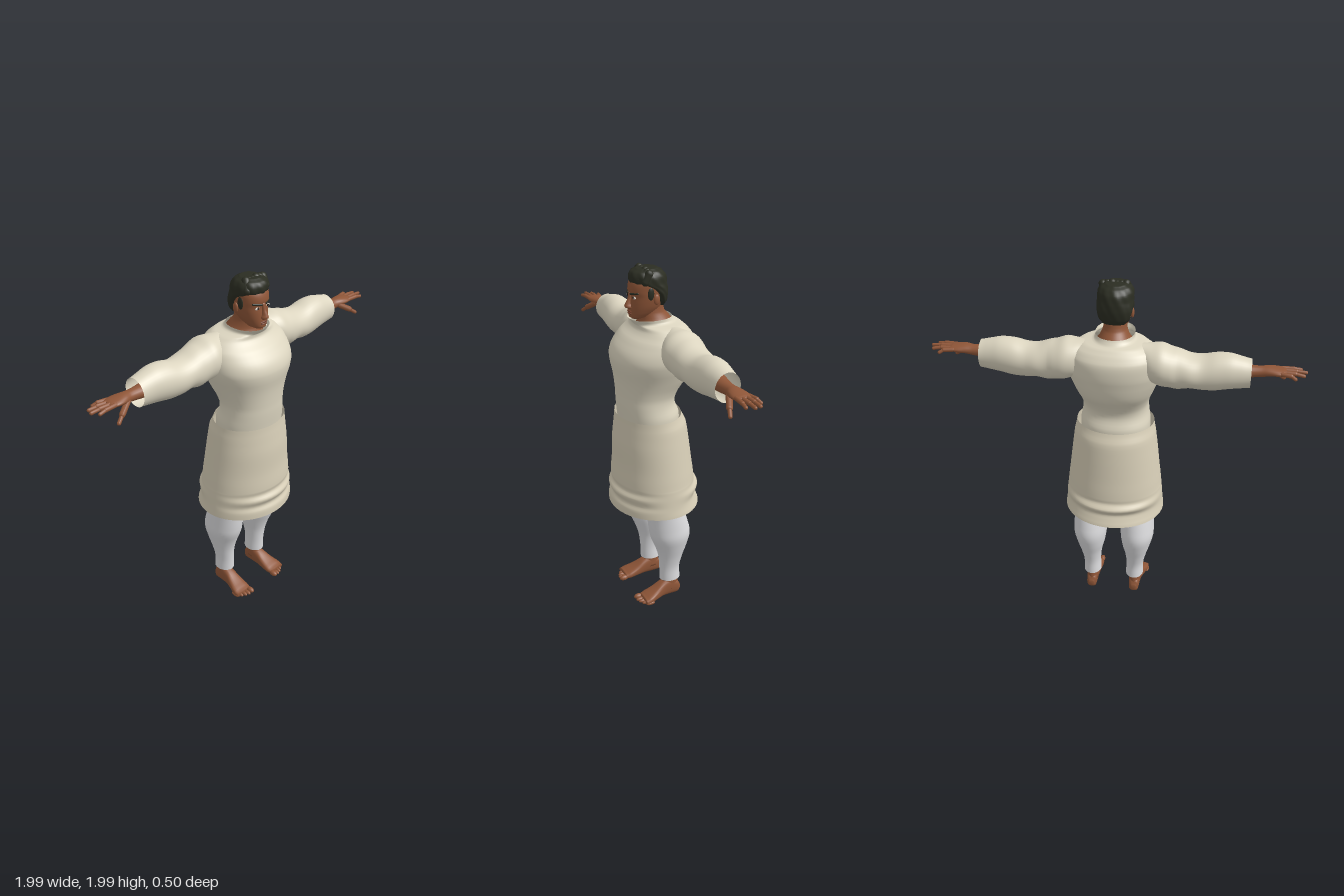
import * as THREE from 'three';

const mat = (name, color, side = THREE.FrontSide) => {
  const m = new THREE.MeshStandardMaterial({ color, side });
  m.name = name;
  return m;
};

// Smooth loft through elliptical sections [s, u0, u1, v0, v1]; u and v are extents.
// axis y: u = x, v = z;  axis x: u = y, v = z;  axis z: u = x, v = y.
function loft(sections, { axis = 'y', power = 1, caps = true, sides = 36, steps = 4, ripple = null } = {}) {
  const n = sections.length, rows = (n - 1) * steps, pos = [], index = [];
  const at = (i, k) => sections[Math.min(n - 1, Math.max(0, i))][k];
  const spline = (i, f, k) => {
    const a = at(i - 1, k), b = at(i, k), c = at(i + 1, k), d = at(i + 2, k);
    return b + 0.5 * f * (c - a + f * (2 * a - 5 * b + 4 * c - d + f * (3 * (b - c) + d - a)));
  };
  const put = (s, u, v) => pos.push(...(axis === 'y' ? [u, s, v] : axis === 'x' ? [s, u, v] : [u, v, s]));
  const tri = (a, b, c) => (axis === 'y' ? index.push(a, b, c) : index.push(a, c, b));
  const round = (x) => Math.sign(x) * Math.abs(x) ** power;
  const mids = [];
  for (let r = 0; r <= rows; r++) {
    const i = Math.min(n - 2, Math.floor(r / steps)), f = r / steps - i;
    // The station itself runs linearly so rows never cross
    const s = at(i, 0) + (at(i + 1, 0) - at(i, 0)) * f;
    const [u0, u1, v0, v1] = [1, 2, 3, 4].map((k) => spline(i, f, k));
    mids.push([s, (u0 + u1) / 2, (v0 + v1) / 2]);
    for (let j = 0; j < sides; j++) {
      const t = (j / sides) * Math.PI * 2, g = ripple ? ripple(s, t) : 1;
      put(s, (u0 + u1) / 2 + (g * round(Math.sin(t)) * (u1 - u0)) / 2, (v0 + v1) / 2 + (g * round(Math.cos(t)) * (v1 - v0)) / 2);
    }
  }
  for (let r = 0; r < rows; r++)
    for (let j = 0; j < sides; j++) {
      const a = r * sides + j, b = r * sides + ((j + 1) % sides);
      tri(a, b, a + sides);
      tri(b, b + sides, a + sides);
    }
  if (caps) {
    const base = pos.length / 3, top = rows * sides;
    put(...mids[0]);
    put(...mids[rows]);
    for (let j = 0; j < sides; j++) {
      const k = (j + 1) % sides;
      tri(base, k, j);
      tri(base + 1, top + j, top + k);
    }
  }
  const geo = new THREE.BufferGeometry();
  geo.setAttribute('position', new THREE.Float32BufferAttribute(pos, 3));
  geo.setIndex(index);
  geo.computeVertexNormals();
  return geo;
}

// Rounded bar between two points
function bar(a, b, r) {
  const p = new THREE.Vector3(...a), q = new THREE.Vector3(...b), d = q.clone().sub(p);
  const geo = new THREE.CapsuleGeometry(r, d.length(), 5, 10);
  geo.applyQuaternion(new THREE.Quaternion().setFromUnitVectors(new THREE.Vector3(0, 1, 0), d.normalize()));
  return geo.translate(...p.add(q).multiplyScalar(0.5).toArray());
}

const ball = (x, y, z, rx, ry, rz) => new THREE.SphereGeometry(1, 18, 12).scale(rx, ry, rz).translate(x, y, z);

// Mirror across x = 0, keeping faces outward
function mirror(geo) {
  const g = geo.clone().scale(-1, 1, 1), ix = g.index.array;
  for (let i = 0; i < ix.length; i += 3) [ix[i], ix[i + 1]] = [ix[i + 1], ix[i]];
  g.computeVertexNormals();
  return g;
}

export function createModel() {
  const root = new THREE.Group();
  root.name = 'standingMan';
  const skin = mat('skin', 0x8f5638), hair = mat('hair', 0x2b2d22), lips = mat('lips', 0x74402c);
  const eyeWhite = mat('eyeWhite', 0xd8d0c6), iris = mat('iris', 0x20160f);
  const cloth = mat('tunicCloth', 0xdcd5c0, THREE.DoubleSide);
  const skirtCloth = mat('skirtCloth', 0xd7ceb7, THREE.DoubleSide);
  const white = mat('trouserCloth', 0xdcdcde, THREE.DoubleSide);
  const add = (name, geo, m) => {
    const mesh = new THREE.Mesh(geo, m);
    mesh.name = name;
    root.add(mesh);
  };
  const pair = (name, geo, m) => {
    add(name + 'Left', geo, m);
    add(name + 'Right', mirror(geo), m);
  };

  // Tunic with a flared open collar
  add('tunic', loft([
    [1.08, -0.19, 0.19, -0.12, 0.19], [1.18, -0.193, 0.193, -0.125, 0.2], [1.25, -0.182, 0.182, -0.1, 0.207],
    [1.31, -0.183, 0.183, -0.115, 0.21], [1.4, -0.213, 0.213, -0.172, 0.218], [1.5, -0.25, 0.25, -0.196, 0.233],
    [1.56, -0.255, 0.255, -0.203, 0.215], [1.62, -0.245, 0.245, -0.197, 0.165], [1.66, -0.215, 0.215, -0.168, 0.118],
    [1.685, -0.17, 0.17, -0.14, 0.112], [1.695, -0.11, 0.11, -0.115, 0.122], [1.72, -0.104, 0.104, -0.095, 0.142],
  ], { caps: false, sides: 48, power: 0.93 }), cloth);

  // Skirt with horizontal folds near the hem
  add('skirt', loft([
    [0.62, -0.285, 0.285, -0.25, 0.255], [0.66, -0.28, 0.28, -0.232, 0.252], [0.69, -0.277, 0.277, -0.222, 0.238],
    [0.73, -0.274, 0.274, -0.246, 0.255], [0.76, -0.271, 0.271, -0.22, 0.236], [0.79, -0.267, 0.267, -0.218, 0.24],
    [0.9, -0.254, 0.254, -0.203, 0.232], [1.02, -0.24, 0.24, -0.187, 0.23], [1.12, -0.227, 0.227, -0.17, 0.22],
    [1.18, -0.215, 0.215, -0.14, 0.214],
  ], { caps: false, sides: 48 }), skirtCloth);

  // Sleeves, open at the cuff
  pair('sleeve', loft([
    [0.15, 1.52, 1.69, -0.12, 0.03], [0.2, 1.49, 1.692, -0.15, 0.06], [0.25, 1.47, 1.695, -0.163, 0.075],
    [0.3, 1.465, 1.678, -0.158, 0.07], [0.34, 1.456, 1.668, -0.148, 0.066], [0.4, 1.468, 1.648, -0.148, 0.062],
    [0.46, 1.46, 1.645, -0.137, 0.06], [0.53, 1.46, 1.662, -0.133, 0.055], [0.6, 1.472, 1.665, -0.125, 0.048],
    [0.66, 1.48, 1.652, -0.114, 0.038], [0.712, 1.487, 1.64, -0.107, 0.034],
  ], { axis: 'x', caps: false }), cloth);

  // Forearm, palm and fingers
  pair('forearmAndPalm', loft([
    [0.58, 1.52, 1.61, -0.085, 0.02], [0.7, 1.535, 1.602, -0.062, 0.014], [0.76, 1.542, 1.6, -0.055, 0.01],
    [0.8, 1.55, 1.602, -0.06, 0.022], [0.84, 1.558, 1.598, -0.067, 0.028], [0.875, 1.563, 1.593, -0.066, 0.024],
    [0.89, 1.57, 1.588, -0.06, 0.018],
  ], { axis: 'x', sides: 20 }), skin);
  const fingers = [[-0.056, 0.935, -0.075, 1.567], [-0.034, 0.977, -0.045, 1.573], [-0.01, 0.988, -0.011, 1.576], [0.013, 0.963, 0.022, 1.574]];
  fingers.forEach(([z, tip, tipZ, tipY], i) => {
    const mid = (0.87 + tip) / 2 + 0.01, midZ = (z + tipZ) / 2;
    pair('finger' + (i + 1), bar([0.865, 1.579, z], [mid, 1.579, midZ], 0.0115), skin);
    pair('fingertip' + (i + 1), bar([mid, 1.579, midZ], [tip, tipY, tipZ], 0.0095), skin);
  });
  pair('thumbBase', bar([0.79, 1.565, 0.005], [0.85, 1.53, 0.036], 0.016), skin);
  pair('thumbTip', bar([0.85, 1.53, 0.036], [0.885, 1.504, 0.052], 0.0105), skin);

  // Trouser legs
  pair('trouserLeg', loft([
    [0.12, 0.077, 0.182, -0.105, 0.02], [0.2, 0.08, 0.182, -0.102, 0.022], [0.28, 0.072, 0.198, -0.118, 0.03],
    [0.35, 0.055, 0.218, -0.14, 0.05], [0.43, 0.043, 0.238, -0.157, 0.082], [0.5, 0.042, 0.237, -0.145, 0.094],
    [0.62, 0.036, 0.233, -0.112, 0.106], [0.8, 0.015, 0.238, -0.125, 0.14], [1.0, -0.01, 0.215, -0.13, 0.16],
    [1.1, -0.02, 0.18, -0.11, 0.16],
  ], { caps: false }), white);

  // Bare feet
  pair('ankle', loft([
    [0.05, 0.095, 0.165, -0.098, 0.02], [0.1, 0.099, 0.162, -0.094, 0.006], [0.14, 0.1, 0.16, -0.088, -0.002],
    [0.22, 0.095, 0.165, -0.088, 0.0],
  ], { sides: 20 }), skin);
  pair('foot', loft([
    [-0.107, 0.115, 0.147, 0.02, 0.055], [-0.092, 0.102, 0.16, 0.002, 0.085], [-0.04, 0.097, 0.165, 0.001, 0.115],
    [0.01, 0.095, 0.17, 0.003, 0.1], [0.06, 0.09, 0.185, 0.002, 0.07], [0.11, 0.087, 0.2, 0.001, 0.047],
    [0.14, 0.092, 0.198, 0.002, 0.036],
  ], { axis: 'z', power: 0.75, sides: 24 }), skin);
  for (let i = 0; i < 5; i++) {
    const r = i === 0 ? 0.017 : 0.0125 - i * 0.0004;
    pair('toe' + (i + 1), ball(0.104 + i * 0.021 + (i ? 0.004 : 0), r, 0.152 - i * i * 0.0025, r, r, 0.028), skin);
  }

  // Neck and head
  add('neck', loft([
    [1.62, -0.12, 0.12, -0.13, 0.1], [1.68, -0.1, 0.1, -0.11, 0.095], [1.71, -0.078, 0.078, -0.09, 0.085],
    [1.75, -0.062, 0.062, -0.056, 0.085], [1.82, -0.06, 0.06, -0.045, 0.08],
  ]), skin);
  add('head', loft([
    [1.718, -0.024, 0.024, 0.07, 0.125], [1.728, -0.042, 0.042, 0.03, 0.139], [1.75, -0.058, 0.058, -0.01, 0.141],
    [1.78, -0.072, 0.072, -0.035, 0.14], [1.81, -0.08, 0.08, -0.045, 0.138], [1.84, -0.085, 0.085, -0.05, 0.135],
    [1.87, -0.086, 0.086, -0.053, 0.141], [1.91, -0.086, 0.086, -0.052, 0.132], [1.95, -0.065, 0.065, -0.03, 0.105],
    [1.97, -0.035, 0.035, 0.0, 0.07],
  ], { power: 0.92 }), skin);
  add('nose', loft([
    [1.772, -0.012, 0.012, 0.125, 0.148], [1.783, -0.02, 0.02, 0.12, 0.166], [1.8, -0.014, 0.014, 0.12, 0.163],
    [1.825, -0.01, 0.01, 0.12, 0.15], [1.86, -0.012, 0.012, 0.12, 0.142],
  ], { sides: 16 }), skin);
  pair('ear', ball(0.088, 1.828, 0.025, 0.009, 0.028, 0.017), skin);
  pair('eye', ball(0.036, 1.836, 0.128, 0.016, 0.0075, 0.006), eyeWhite);
  pair('iris', ball(0.035, 1.837, 0.1325, 0.0065, 0.0065, 0.003), iris);
  pair('eyebrow', bar([0.018, 1.855, 0.14], [0.058, 1.861, 0.118], 0.0055), hair);
  add('upperLip', ball(0, 1.759, 0.14, 0.026, 0.005, 0.006), lips);
  add('lowerLip', ball(0, 1.749, 0.14, 0.021, 0.005, 0.007), lips);

  // Short hair: a wavy cap plus swept locks along the brow
  add('hairCap', loft([
    [1.785, -0.058, 0.058, -0.05, 0.0], [1.81, -0.079, 0.079, -0.06, 0.014], [1.85, -0.09, 0.09, -0.067, 0.036],
    [1.88, -0.093, 0.093, -0.068, 0.075], [1.905, -0.094, 0.094, -0.067, 0.128], [1.94, -0.092, 0.092, -0.06, 0.137],
    [1.965, -0.078, 0.078, -0.04, 0.125], [1.98, -0.05, 0.05, -0.012, 0.095],
  ], { sides: 48, ripple: (s, t) => 1 + 0.018 * Math.sin(t * 11 + s * 60) }), hair);
  for (let i = 0; i < 6; i++) {
    const x = -0.065 + i * 0.027;
    add('hairLock' + (i + 1), bar([x, 1.925 + 0.008 * Math.sin(i * 2), 0.11 - x * x * 6], [x * 0.9 + 0.008, 1.964 + 0.004 * Math.cos(i * 2), 0.06], 0.022), hair);
  }
  pair('sideburn', ball(0.083, 1.86, 0.055, 0.009, 0.035, 0.018), hair);

  return root;
}
